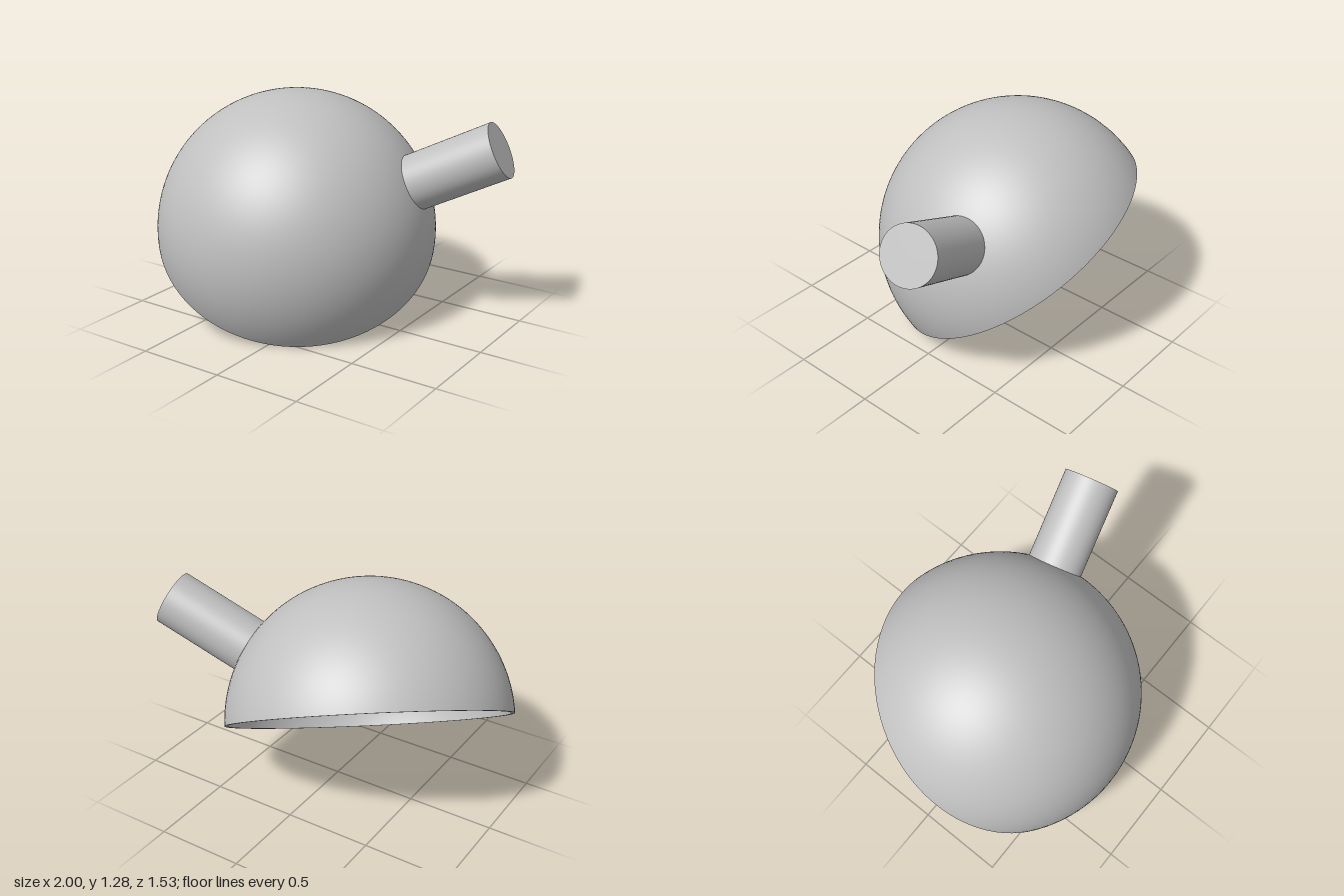
import * as THREE from 'three';

const R = 0.813;          // outer radius of the bowl
const WALL = 0.016;       // shell thickness
const HANDLE_R = 0.16;
const HANDLE_START = 0.796, HANDLE_END = 1.319; // distances from the bowl centre

export function createModel() {
  const group = new THREE.Group();
  const grey = new THREE.MeshStandardMaterial({ color: 0xc0c0c0, side: THREE.DoubleSide });
  grey.name = 'light grey';
  const up = new THREE.Vector3(0, 1, 0);

  const add = (parent, name, geometry) => {
    const mesh = new THREE.Mesh(geometry, grey);
    mesh.name = name;
    parent.add(mesh);
    return mesh;
  };
  const dome = (r) => new THREE.SphereGeometry(r, 96, 40, 0, Math.PI * 2, 0, Math.PI / 2);

  // Tilted hollow half sphere, open underneath
  const bowl = new THREE.Group();
  bowl.name = 'bowl';
  add(bowl, 'bowlOuter', dome(R));
  add(bowl, 'bowlInner', dome(R - WALL));
  add(bowl, 'bowlRim', new THREE.RingGeometry(R - WALL, R, 96).rotateX(Math.PI / 2));
  bowl.quaternion.setFromUnitVectors(up, new THREE.Vector3(0.348, 0.818, 0.459).normalize());

  // Round handle standing radially on the shell
  const direction = new THREE.Vector3(0.878, 0.436, -0.2).normalize();
  const handle = add(group, 'handle',
    new THREE.CylinderGeometry(HANDLE_R, HANDLE_R, HANDLE_END - HANDLE_START, 64));
  handle.quaternion.setFromUnitVectors(up, direction);

  // Both parts share the sphere's centre
  const centre = new THREE.Vector3(-0.238, 0.467, -0.043);
  bowl.position.copy(centre);
  handle.position.copy(centre).addScaledVector(direction, (HANDLE_START + HANDLE_END) / 2);
  group.add(bowl);
  return group;
}
